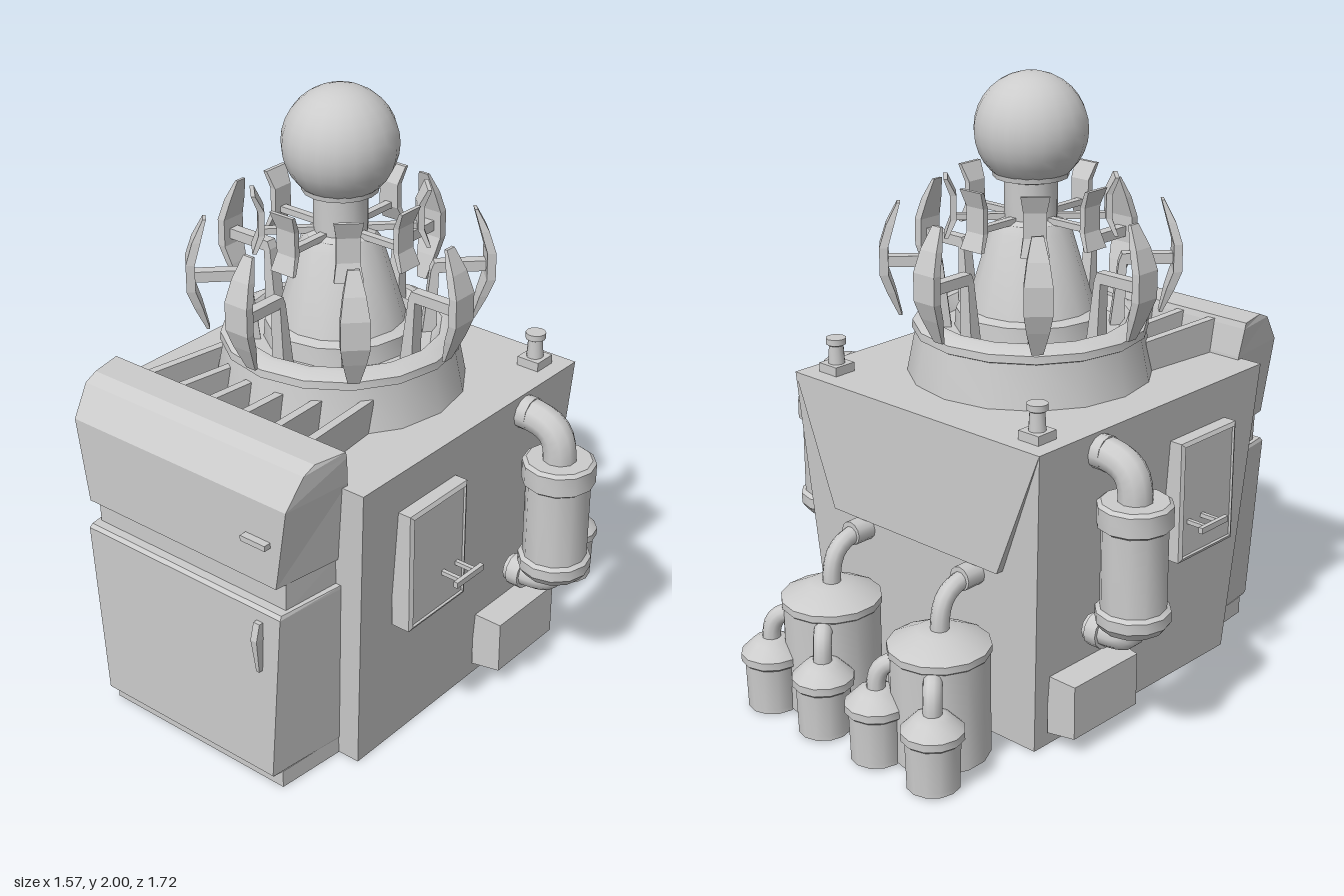
import * as THREE from 'three';
import { toCreasedNormals } from 'three/addons/utils/BufferGeometryUtils.js';

const mat = new THREE.MeshStandardMaterial({ color: 0xcccccc, side: THREE.DoubleSide });
const V = (x, y, z) => new THREE.Vector3(x, y, z);

function add(parent, name, geometry, x = 0, y = 0, z = 0) {
  const mesh = new THREE.Mesh(geometry, mat);
  mesh.name = name;
  mesh.position.set(x, y, z);
  parent.add(mesh);
  return mesh;
}

function group(parent, name) {
  const g = new THREE.Group();
  g.name = name;
  parent.add(g);
  return g;
}

// Four-cornered cross-section: height, half widths at back and front, z at back and front
const ring = (y, wBack, wFront, zBack, zFront) =>
  [[-wFront, y, zFront], [wFront, y, zFront], [wBack, y, zBack], [-wBack, y, zBack]];

// Flat-sided skin through the cross-sections, bottom to top
function loft(rings, capBottom = true, capTop = true) {
  const p = [];
  for (let r = 0; r < rings.length - 1; r++) {
    for (let i = 0; i < 4; i++) {
      const j = (i + 1) % 4, lo = rings[r], hi = rings[r + 1];
      p.push(...lo[i], ...lo[j], ...hi[j], ...lo[i], ...hi[j], ...hi[i]);
    }
  }
  const b = rings[0], t = rings[rings.length - 1];
  if (capBottom) p.push(...b[0], ...b[2], ...b[1], ...b[0], ...b[3], ...b[2]);
  if (capTop) p.push(...t[0], ...t[1], ...t[2], ...t[0], ...t[2], ...t[3]);
  const g = new THREE.BufferGeometry();
  g.setAttribute('position', new THREE.Float32BufferAttribute(p, 3));
  g.computeVertexNormals();
  return g;
}

const lathe = (profile, sides = 12) =>
  toCreasedNormals(new THREE.LatheGeometry(profile.map(([r, y]) => new THREE.Vector2(r, y)), sides), 0.6);

// Pipe from a to b, rounding the given corner
function elbow(a, corner, b, radius) {
  const curve = new THREE.CubicBezierCurve3(a, a.clone().lerp(corner, 0.8), b.clone().lerp(corner, 0.8), b);
  return new THREE.TubeGeometry(curve, 10, radius, 10);
}

function createBody(root) {
  const body = group(root, 'body');
  add(body, 'housing', loft([ring(0, 0.46, 0.46, -0.41, 0.55), ring(1.03, 0.53, 0.53, -0.47, 0.61)], false));
  // Overhanging panel on the back
  add(body, 'backOverhang', loft([
    [[-0.36, 0.6, -0.444], [0.36, 0.6, -0.444], [0.36, 0.6, -0.472], [-0.36, 0.6, -0.472]],
    [[-0.53, 1.03, -0.469], [0.53, 1.03, -0.469], [0.53, 1.03, -0.471], [-0.53, 1.03, -0.471]]]));
  for (const s of [-1, 1]) {
    const side = group(body, s > 0 ? 'leftSide' : 'rightSide');
    // Framed access panel with handle
    const panel = add(side, 'accessPanel', loft([
      ring(0, 0.205, 0.205, -0.14, 0.14), ring(0.065, 0.205, 0.205, -0.14, 0.14),
      ring(0.072, 0.192, 0.192, -0.127, 0.127), ring(0.066, 0.188, 0.188, -0.123, 0.123)]), s * 0.5, 0.685, 0.295);
    panel.rotation.z = -s * Math.PI / 2;
    add(side, 'panelHandle', new THREE.BoxGeometry(0.015, 0.02, 0.135), s * 0.64, 0.615, 0.235);
    for (const z of [0.2, 0.27])
      add(side, 'handlePost', new THREE.BoxGeometry(0.08, 0.014, 0.014), s * 0.6, 0.615, z);
    // Low box
    const vent = add(side, 'ventBox', loft([
      ring(0, 0.1, 0.1, -0.162, 0.162), ring(0.1, 0.09, 0.09, -0.15, 0.15)]), s * 0.47, 0.15, -0.198);
    vent.rotation.z = -s * Math.PI / 2;
    // Chimney on the rear corner
    add(side, 'chimneyBase', new THREE.BoxGeometry(0.08, 0.03, 0.08), s * 0.436, 1.045, -0.375);
    add(side, 'chimney', lathe([[0.028, 1.05], [0.024, 1.12], [0.033, 1.125], [0.033, 1.145], [0, 1.145]]),
      s * 0.436, 0, -0.375);
    // Side tank with its two pipes
    add(side, 'sideTank', lathe([[0.05, 0.425], [0.1, 0.43], [0.118, 0.455], [0.118, 0.49], [0.104, 0.5],
      [0.104, 0.76], [0.118, 0.77], [0.118, 0.835], [0.105, 0.845], [0, 0.845]]), s * 0.667, 0, -0.195);
    for (const [from, to] of [[0.84, 0.965], [0.44, 0.37]]) {
      add(side, 'sidePipe', elbow(V(s * 0.667, from, -0.195), V(s * 0.667, to, -0.195),
        V(s * 0.5, to, -0.195), to > 0.5 ? 0.055 : 0.045));
      const flange = add(side, 'pipeFlange', new THREE.CylinderGeometry(0.055, 0.055, 0.045, 12), s * 0.54, to, -0.195);
      flange.rotation.z = Math.PI / 2;
    }
  }
}

function createCabinet(root) {
  const cabinet = group(root, 'frontCabinet');
  add(cabinet, 'plinth', loft([ring(0, 0.385, 0.36, 0.54, 0.79), ring(0.06, 0.385, 0.36, 0.54, 0.79)], false));
  add(cabinet, 'lowerDoor', loft([
    ring(0.055, 0.385, 0.35, 0.54, 0.82), ring(0.065, 0.39, 0.355, 0.54, 0.83),
    ring(0.66, 0.43, 0.398, 0.56, 0.83), ring(0.672, 0.43, 0.395, 0.56, 0.82)]));
  add(cabinet, 'neck', loft([ring(0.66, 0.41, 0.385, 0.56, 0.79), ring(0.78, 0.415, 0.39, 0.57, 0.79)]));
  add(cabinet, 'upperDrawer', loft([
    ring(0.765, 0.425, 0.385, 0.57, 0.83), ring(1.04, 0.455, 0.428, 0.59, 0.83),
    ring(1.135, 0.465, 0.44, 0.605, 0.765), ring(1.155, 0.465, 0.442, 0.61, 0.72)]));
  add(cabinet, 'drawerHandle', new THREE.BoxGeometry(0.095, 0.018, 0.025), 0.32, 0.91, 0.843);
  add(cabinet, 'doorHandle', loft([
    ring(0.45, 0.006, 0.006, 0.825, 0.845), ring(0.57, 0.012, 0.012, 0.825, 0.86),
    ring(0.625, 0.012, 0.012, 0.825, 0.845)]), 0.318);
  // Fins running from the drawer back to the tower
  for (const s of [-1, 1]) {
    for (const [x, back] of [[0.065, 0.4], [0.19, 0.38], [0.315, 0.29]]) {
      const fin = [0, 0.12].map(h => [
        [s * x * 1.04 - 0.014, 1.025 + h, 0.62], [s * x * 1.04 + 0.014, 1.025 + h, 0.62],
        [s * x * 0.93 + 0.014, 1.025 + h * 0.9, back], [s * x * 0.93 - 0.014, 1.025 + h * 0.9, back]]);
      add(cabinet, 'fin', loft(fin));
    }
  }
}

function createTower(root) {
  const tower = group(root, 'tower');
  tower.position.z = 0.075;
  add(tower, 'towerCore', lathe([[0.4, 1.03], [0.372, 1.17], [0.382, 1.175], [0.38, 1.2], [0.345, 1.22], [0.32, 1.22],
    [0.29, 1.18], [0.245, 1.18], [0.24, 1.24], [0.205, 1.25], [0.13, 1.5], [0.11, 1.53], [0.085, 1.54],
    [0.085, 1.66], [0.12, 1.67], [0.125, 1.7], [0.1, 1.73]], 16));
  add(tower, 'globe', new THREE.SphereGeometry(0.181, 20, 16), 0, 1.819, 0);

  // Two rings of eight petals: [height, half width, inner radius, outer radius]
  const petal = rows => loft(rows.map(([y, w, a, b]) => ring(y, w, w, a, b)));
  const outer = petal([[1.22, 0.018, 0.412, 0.422], [1.3, 0.035, 0.432, 0.458], [1.36, 0.044, 0.452, 0.48],
    [1.45, 0.044, 0.452, 0.48], [1.52, 0.034, 0.432, 0.458], [1.59, 0.018, 0.412, 0.422]]);
  const inner = petal([[1.48, 0.045, 0.262, 0.275], [1.535, 0.036, 0.235, 0.255],
    [1.615, 0.036, 0.235, 0.255], [1.67, 0.045, 0.262, 0.275]]);
  const post = loft([ring(1.18, 0.024, 0.024, 0.255, 0.3), ring(1.39, 0.018, 0.018, 0.28, 0.305),
    ring(1.415, 0.018, 0.018, 0.29, 0.305)]);
  for (let i = 0; i < 8; i++) {
    const spoke = group(tower, 'petalSpoke');
    spoke.rotation.y = i * Math.PI / 4;
    add(spoke, 'outerPetal', outer);
    add(spoke, 'outerPost', post);
    add(spoke, 'outerArm', new THREE.BoxGeometry(0.036, 0.035, 0.17), 0, 1.398, 0.375);
    add(spoke, 'innerPetal', inner);
    add(spoke, 'innerArm', new THREE.BoxGeometry(0.025, 0.02, 0.17), 0, 1.54, 0.16);
  }
}

function createRearTanks(root) {
  const tankShape = lathe([[0.158, 0.01], [0.158, 0.35], [0.163, 0.355], [0.163, 0.378], [0.15, 0.385],
    [0.07, 0.425], [0, 0.425]], 14);
  const jarShape = lathe([[0.084, 0.005], [0.084, 0.02], [0.088, 0.16], [0.1, 0.17], [0.1, 0.195],
    [0.06, 0.235], [0.04, 0.245], [0, 0.245]]);
  for (const s of [-1, 1]) {
    const set = group(root, s > 0 ? 'leftRearTanks' : 'rightRearTanks');
    const x = s * 0.243;
    add(set, 'rearTank', tankShape, x, 0, -0.603);
    add(set, 'rearPipe', elbow(V(x, 0.41, -0.6), V(x, 0.56, -0.6), V(x, 0.56, -0.43), 0.03));
    const flange = add(set, 'rearFlange', new THREE.CylinderGeometry(0.04, 0.04, 0.075, 12), x, 0.56, -0.475);
    flange.rotation.x = Math.PI / 2;
    for (const dx of [-0.122, 0.122]) {
      add(set, 'smallJar', jarShape, x + dx, 0, -0.757);
      add(set, 'jarPipe', elbow(V(x + dx, 0.23, -0.757), V(x + dx, 0.33, -0.757),
        V(x + dx * 0.5, 0.33, -0.69), 0.03));
    }
  }
}

export function createModel() {
  const root = new THREE.Group();
  root.name = 'machine';
  createBody(root);
  createCabinet(root);
  createTower(root);
  createRearTanks(root);
  return root;
}
